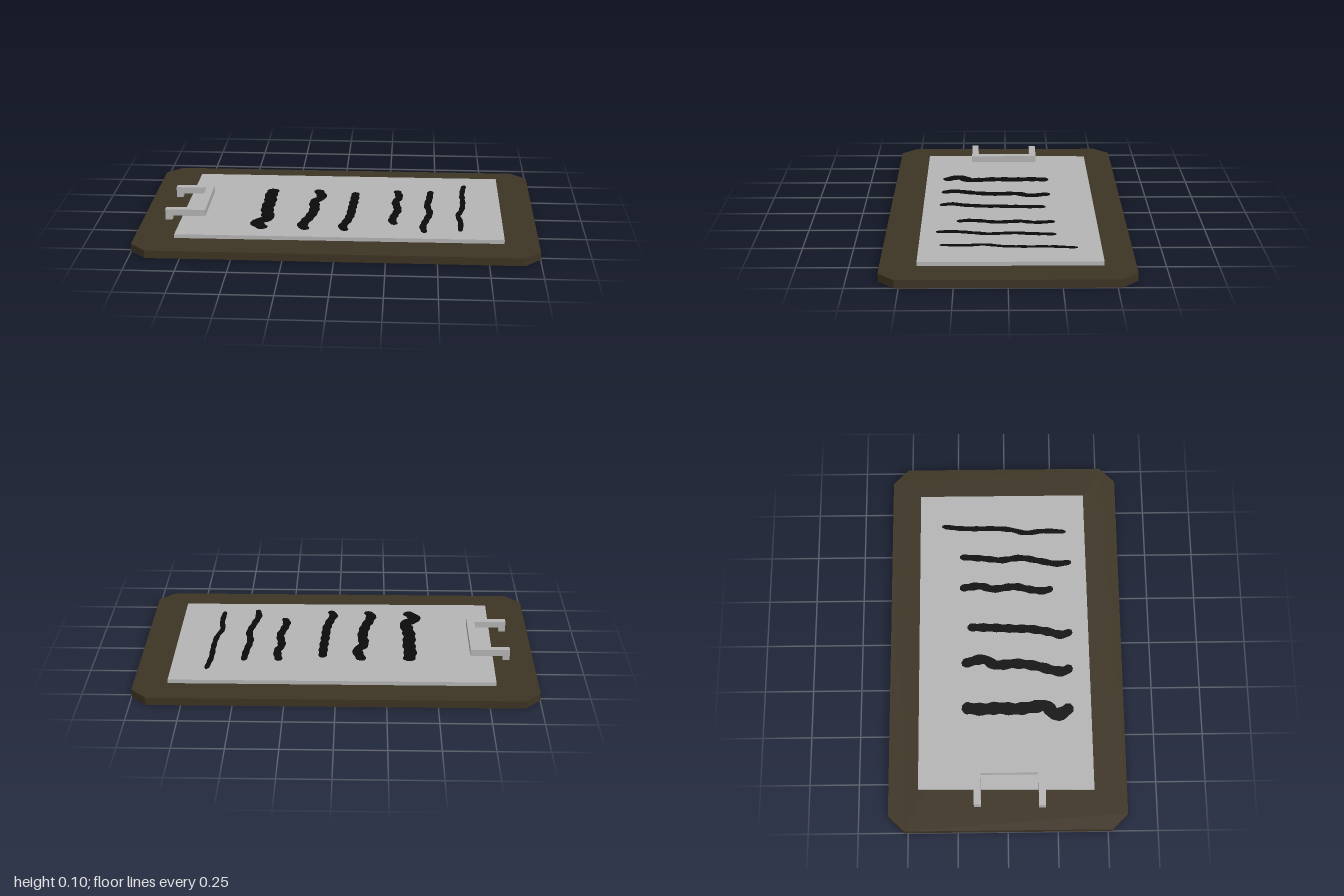
import * as THREE from 'three';

const mat = (name, color) => {
  const m = new THREE.MeshStandardMaterial({ color });
  m.name = name;
  return m;
};

// Horizontal plate from an outline of [x, z] points, between two heights
function plate(name, outline, y0, y1, material) {
  const shape = new THREE.Shape(outline.map(([x, z]) => new THREE.Vector2(x, -z)));
  const geo = new THREE.ExtrudeGeometry(shape, { depth: y1 - y0, bevelEnabled: false });
  geo.rotateX(-Math.PI / 2).translate(0, y0, 0);
  const mesh = new THREE.Mesh(geo, material);
  mesh.name = name;
  return mesh;
}

function box(name, x0, x1, y0, y1, z0, z1, material) {
  const mesh = new THREE.Mesh(new THREE.BoxGeometry(x1 - x0, y1 - y0, z1 - z0), material);
  mesh.position.set((x0 + x1) / 2, (y0 + y1) / 2, (z0 + z1) / 2);
  mesh.name = name;
  return mesh;
}

// Outline of a wavy brush stroke with rounded ends around a spline
function strokeOutline(points, width) {
  const curve = new THREE.CatmullRomCurve3(points.map(([x, z]) => new THREE.Vector3(x, 0, z)));
  const left = [], right = [], n = 40;
  for (let i = 0; i <= n; i++) {
    const t = i / n;
    const p = curve.getPointAt(t), d = curve.getTangentAt(t);
    const end = Math.min(1, Math.min(t, 1 - t) * 14);
    const w = width / 2 * (0.35 + 0.65 * Math.sqrt(end * (2 - end))) * (1 + 0.1 * Math.sin(i * 1.3));
    left.push([p.x + d.z * w, p.z - d.x * w]);
    right.unshift([p.x - d.z * w, p.z + d.x * w]);
  }
  return left.concat(right);
}

export function createModel() {
  const group = new THREE.Group();
  const brown = mat('dark brown', 0x3d3423);
  const grey = mat('light grey', 0xb5b5b5);
  const ink = mat('black ink', 0x0a0a0a);

  // Board with clipped corners
  group.add(plate('board', [
    [-0.92, 0.6], [0.92, 0.6], [1, 0.52], [1, -0.52],
    [0.92, -0.6], [-0.92, -0.6], [-1, -0.52], [-1, 0.52],
  ], 0, 0.04, brown));

  // Paper stack
  group.add(plate('paper', [
    [-0.8, 0.435], [0.83, 0.425], [0.83, -0.45], [-0.79, -0.45],
  ], 0.04, 0.06, grey));

  // Clip: crossbar, two arms and their feet
  const clip = new THREE.Group();
  clip.name = 'clip';
  clip.add(box('clipBar', -0.72, -0.68, 0.062, 0.096, -0.135, 0.155, grey));
  for (const [z0, z1, x0] of [[-0.17, -0.135, -0.88], [0.155, 0.19, -0.885]]) {
    clip.add(box('clipArm', x0, -0.68, 0.062, 0.096, z0, z1, grey));
    clip.add(box('clipFoot', x0, x0 + 0.035, 0.04, 0.062, z0, z1, grey));
  }
  group.add(clip);

  // Ink strokes, thinning towards the far end of the paper
  const strokes = [
    [0.064, [[-0.365, -0.23], [-0.375, -0.13], [-0.37, -0.05], [-0.375, 0.05], [-0.365, 0.14], [-0.36, 0.2], [-0.41, 0.25], [-0.395, 0.29], [-0.36, 0.335]]],
    [0.052, [[-0.13, -0.23], [-0.105, -0.115], [-0.135, -0.06], [-0.13, 0.05], [-0.145, 0.16], [-0.165, 0.23], [-0.175, 0.29], [-0.15, 0.34]]],
    [0.044, [[0.073, -0.2], [0.07, -0.08], [0.063, 0.05], [0.06, 0.13], [0.042, 0.23], [0.027, 0.285], [0.045, 0.345]]],
    [0.04, [[0.293, -0.24], [0.305, -0.13], [0.288, -0.07], [0.3, 0.05], [0.283, 0.13], [0.275, 0.2], [0.29, 0.25]]],
    [0.034, [[0.472, -0.24], [0.465, -0.13], [0.453, -0.02], [0.465, 0.08], [0.445, 0.19], [0.43, 0.27], [0.438, 0.35]]],
    [0.027, [[0.652, -0.335], [0.638, -0.21], [0.638, -0.08], [0.63, 0.03], [0.61, 0.11], [0.62, 0.2], [0.615, 0.325]]],
  ];
  for (const [width, points] of strokes) {
    group.add(plate('inkStroke', strokeOutline(points, width), 0.058, 0.062, ink));
  }
  return group;
}
